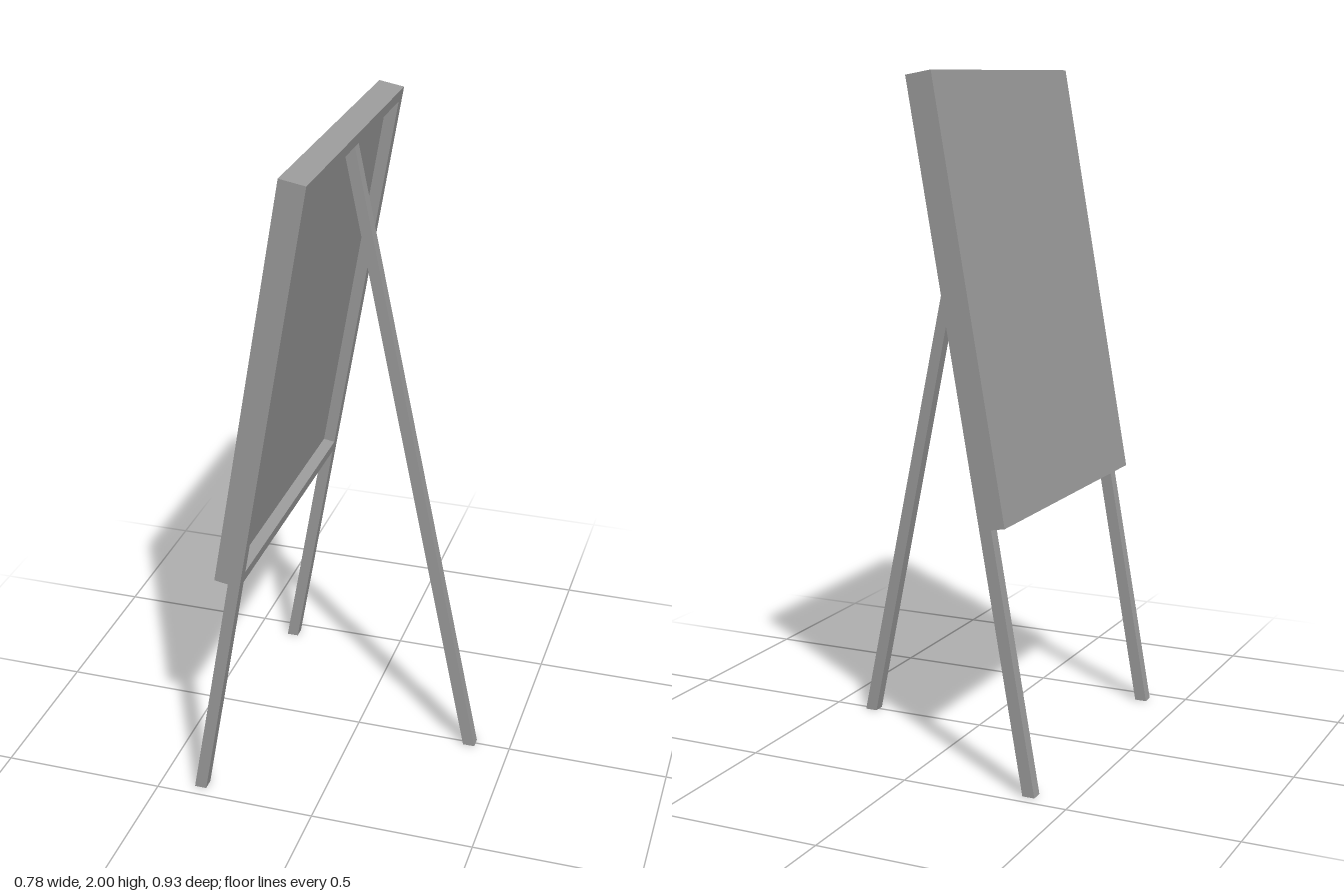
import * as THREE from 'three';

const TILT = THREE.MathUtils.degToRad(10.1);
const HALF = 0.465;      // half width of the board
const BAR = 0.036;       // thickness of every wooden bar
const DEPTH = 0.078;     // panel plus frame
const LENGTH = 1.257;    // board length along the slope
const TOP = [0, 1.986];  // rear top corner of the frame

// Point on the tilted side profile: d down the slope, t in towards the panel face
const at = (d, t) => [
  TOP[0] - d * Math.sin(TILT) - t * Math.cos(TILT),
  TOP[1] - d * Math.cos(TILT) + t * Math.sin(TILT),
];

// Where the slope line at depth t meets the floor
const foot = (t) => {
  const [x, y] = at(0, t);
  return [x - y * Math.tan(TILT), 0];
};

export function createModel() {
  const model = new THREE.Group();
  model.name = 'easelBoard';
  const material = new THREE.MeshStandardMaterial({ color: 0x9c9c9c });

  // Side profile in x and y, extruded from z0 to z1
  const prism = (name, points, z0, z1) => {
    const shape = new THREE.Shape(points.map(([x, y]) => new THREE.Vector2(x, y)));
    const geometry = new THREE.ExtrudeGeometry(shape, { depth: z1 - z0, bevelEnabled: false });
    geometry.translate(0, 0, z0);
    const mesh = new THREE.Mesh(geometry, material);
    mesh.name = name;
    model.add(mesh);
  };

  // Solid writing panel
  prism('panel', [at(0, BAR), at(0, DEPTH), at(LENGTH, DEPTH), at(LENGTH, BAR)], -HALF, HALF);

  // Side legs double as the uprights of the frame, cut level at the floor
  const leg = [at(0, 0), at(0, BAR), foot(BAR), foot(0)];
  prism('leftLeg', leg, HALF - BAR, HALF);
  prism('rightLeg', leg, -HALF, -HALF + BAR);

  // Cross rails between the uprights
  const rail = (name, d) => prism(name,
    [at(d, 0), at(d, BAR), at(d + BAR, BAR), at(d + BAR, 0)], -HALF + BAR, HALF - BAR);
  rail('topRail', 0);
  rail('bottomRail', LENGTH - BAR);

  // Rear prop, butting under the top rail inside the recess
  prism('rearProp', [at(BAR, 0), at(BAR, BAR), [0.353, 0], [0.39, 0]], -BAR / 2, BAR / 2);

  return model;
}
